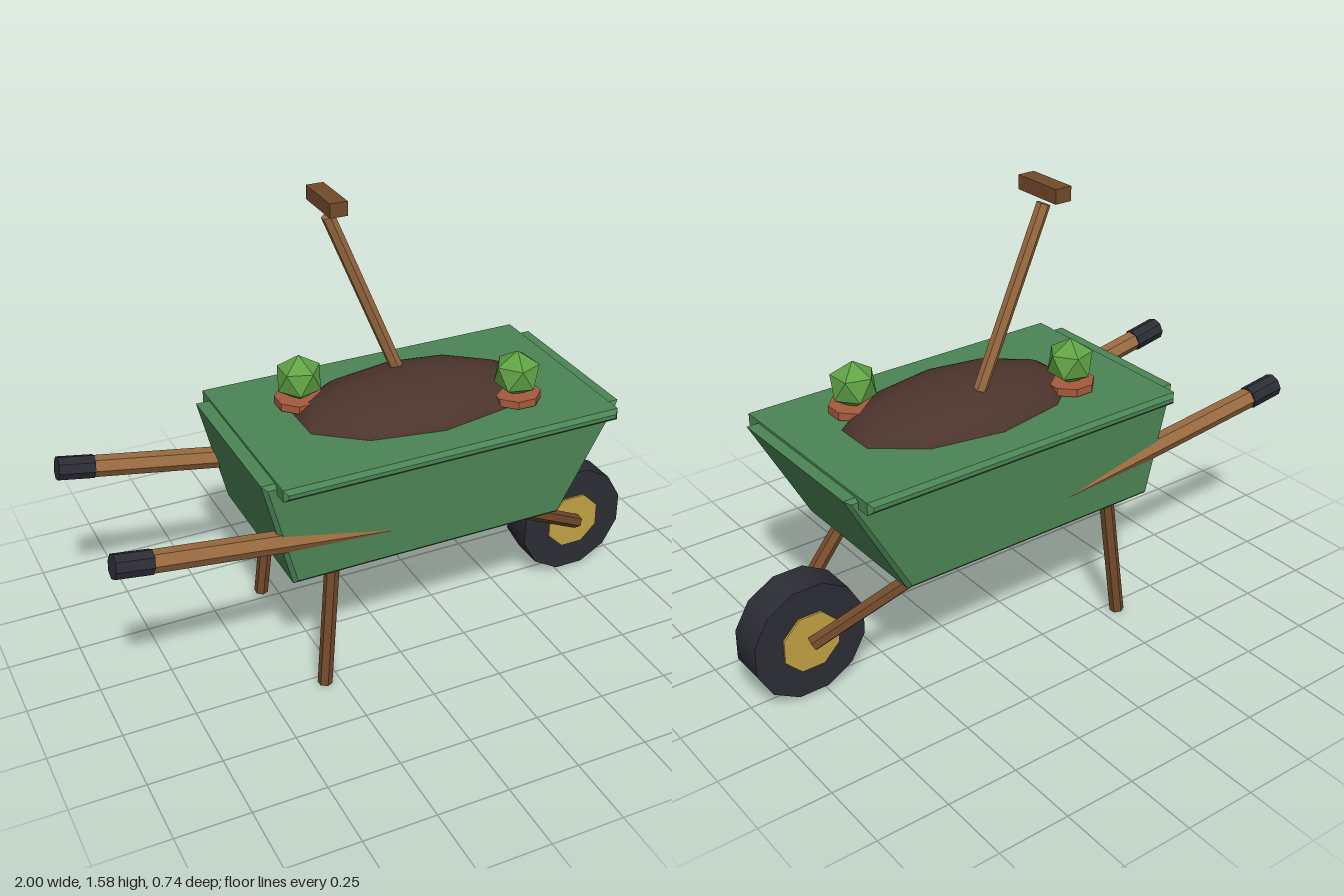
import * as THREE from 'three';
import { toCreasedNormals } from 'three/addons/utils/BufferGeometryUtils.js';

const material = (name, color) => {
  const m = new THREE.MeshStandardMaterial({ color });
  m.name = name;
  return m;
};

export function createModel() {
  const model = new THREE.Group();
  model.name = 'wheelbarrow';
  const green = material('green paint', 0x4b8455);
  const lightWood = material('light wood', 0x996a40);
  const darkWood = material('dark wood', 0x734a2b);
  const rubber = material('black rubber', 0x2c2c35);
  const yellow = material('yellow hub', 0xc2a244);
  const earth = material('soil', 0x4c342c);
  const clay = material('terracotta', 0xa65b3c);
  const leaf = material('leaf green', 0x60a345);

  const add = (name, geometry, mat, parent = model) => {
    const mesh = new THREE.Mesh(geometry, mat);
    mesh.name = name;
    parent.add(mesh);
    return mesh;
  };
  const faceted = (geometry, crease = 0.3) => toCreasedNormals(geometry, crease);

  // Prism with chamfered edges, extruded along z about the middle
  const chamfered = (points, depth, bevel) => {
    const shape = new THREE.Shape(points.map(([x, y]) => new THREE.Vector2(x, y)));
    const g = new THREE.ExtrudeGeometry(shape, {
      depth: depth - 2 * bevel, bevelEnabled: true, bevelSegments: 1,
      bevelSize: bevel, bevelThickness: bevel, bevelOffset: -bevel,
    });
    g.translate(0, 0, bevel - depth / 2);
    return faceted(g);
  };

  // Straight faceted rod between two points
  const rod = (name, from, to, radius, mat, sides = 6) => {
    const a = new THREE.Vector3(...from), b = new THREE.Vector3(...to);
    const mesh = add(name, faceted(new THREE.CylinderGeometry(radius, radius, a.distanceTo(b), sides)), mat);
    mesh.position.copy(a).lerp(b, 0.5);
    mesh.quaternion.setFromUnitVectors(new THREE.Vector3(0, 1, 0), b.sub(a).normalize());
    return mesh;
  };

  // Tub and its overhanging lip
  add('tub', chamfered([[-0.41, 0.445], [0.575, 0.445], [0.787, 0.833], [-0.507, 0.833]], 0.615, 0.015), green);
  add('lip', chamfered([[-0.46, 0.8], [0.745, 0.8], [0.745, 0.842], [-0.46, 0.842]], 0.74, 0.014), green);

  // Soil mound
  const mound = new THREE.SphereGeometry(1, 10, 12, 0, Math.PI * 2, 0, Math.PI / 2);
  mound.rotateY(Math.PI / 2).scale(0.448, 0.14, 0.255).translate(0.16, 0.8, 0);
  add('soilMound', mound, earth);

  // Handles, legs and wheel forks on both sides
  for (const [side, s] of [['left', 1], ['right', -1]]) {
    rod(side + 'Handle', [-0.9, 0.68, s * 0.308], [0.1, 0.53, s * 0.264], 0.037, lightWood);
    rod(side + 'HandleGrip', [-0.993, 0.696, s * 0.311], [-0.872, 0.676, s * 0.307], 0.041, rubber, 8);
    rod(side + 'Leg', [-0.305, 0.002, s * 0.29], [-0.258, 0.48, s * 0.261], 0.025, darkWood);
    rod(side + 'Fork', [0.805, 0.215, s * 0.083], [0.41, 0.475, s * 0.25], 0.026, darkWood);
  }

  // Wheel
  const wheel = new THREE.Group();
  wheel.name = 'wheel';
  wheel.position.set(0.8, 0.212, 0);
  model.add(wheel);
  const disc = (radius, width, sides) => faceted(
    new THREE.CylinderGeometry(radius, radius, width, sides)
      .rotateY(Math.PI / sides).rotateX(Math.PI / 2), 0.6);
  add('tire', disc(0.207, 0.126, 12), rubber, wheel);
  add('hub', disc(0.108, 0.14, 8), yellow, wheel);

  // Spade stuck in the soil
  rod('spadeShaft', [0.165, 0.87, -0.088], [-0.098, 1.505, -0.101], 0.023, lightWood);
  add('spadeGrip', new THREE.BoxGeometry(0.06, 0.048, 0.186), darkWood).position.set(-0.1, 1.556, -0.102);

  // Potted plants: rimmed pot with a faceted ball of leaves
  const potProfile = [[0, 0.79], [0.052, 0.79], [0.068, 0.85], [0.085, 0.85], [0.085, 0.877], [0, 0.877]]
    .map(([r, y]) => new THREE.Vector2(r, y));
  [[-0.2, -0.125, 0.3], [0.467, 0.157, 1.0]].forEach(([x, z, turn], i) => {
    const plant = new THREE.Group();
    plant.name = 'pottedPlant' + (i + 1);
    plant.position.set(x, 0, z);
    model.add(plant);
    add('pot', faceted(new THREE.LatheGeometry(potProfile, 8).rotateY(Math.PI / 8)), clay, plant);
    const ball = new THREE.IcosahedronGeometry(0.083, 0);
    ball.rotateX(-Math.atan((1 + Math.sqrt(5)) / 2)).rotateY(turn).translate(0, 0.943, 0);
    add('leaves', ball, leaf, plant);
  });

  return model;
}
